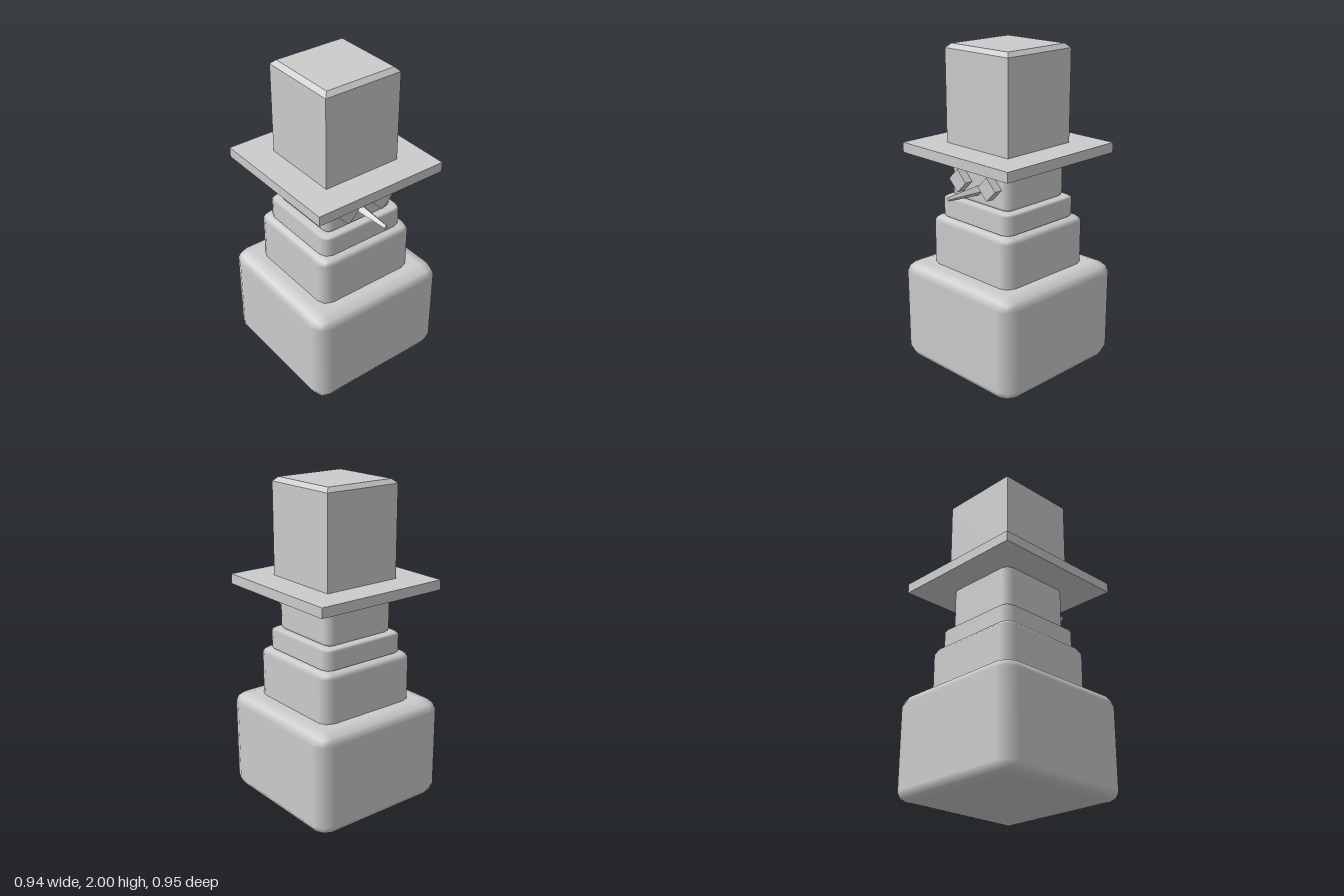
import * as THREE from 'three';
import { RoundedBoxGeometry } from 'three/addons/geometries/RoundedBoxGeometry.js';

export function createModel() {
  const group = new THREE.Group();
  const smooth = new THREE.MeshStandardMaterial({ color: 0xcccccc });
  const flat = new THREE.MeshStandardMaterial({ color: 0xcccccc, flatShading: true });

  function add(name, geometry, material, x, y, z) {
    const mesh = new THREE.Mesh(geometry, material);
    mesh.name = name;
    mesh.position.set(x, y, z);
    group.add(mesh);
    return mesh;
  }

  // Stacked snow blocks: one bevelled cube, stretched to each size
  const cube = new RoundedBoxGeometry(1, 1, 1, 1, 0.1);
  const blocks = [
    ['lowerBody', 0.94, 0.005, 0.65],
    ['upperBody', 0.67, 0.61, 0.957],
    ['neck', 0.58, 0.945, 1.085],
    ['head', 0.49, 1.07, 1.39],
  ];
  for (const [name, width, bottom, top] of blocks) {
    add(name, cube, smooth, -0.002, (bottom + top) / 2, -0.003)
      .scale.set(width, top - bottom, width);
  }

  // Top hat: flat square brim and a crown chamfered around its top
  add('hatBrim', new THREE.BoxGeometry(0.885, 0.062, 0.885), flat, -0.002, 1.381, -0.003);
  const crownProfile = [[0, 1.38], [0.257, 1.38], [0.257, 1.974], [0.23, 2], [0, 2]]
    .map(([r, y]) => new THREE.Vector2(r * Math.SQRT2, y));
  add('hatCrown', new THREE.LatheGeometry(crownProfile, 4, Math.PI / 4), flat, -0.001, 0, -0.003);

  // Diamond eyes
  for (const side of [-1, 1]) {
    const eye = add(side > 0 ? 'leftEye' : 'rightEye',
      new THREE.BoxGeometry(0.102, 0.102, 0.1), flat, side * 0.124 - 0.002, 1.21, 0.245);
    eye.rotation.z = Math.PI / 4;
  }

  // Tapered four-sided nose with a blunt tip
  const nose = add('nose', new THREE.CylinderGeometry(0.014, 0.032, 0.255, 4), flat, -0.002, 1.166, 0.3475);
  nose.rotation.x = Math.PI / 2;

  return group;
}
